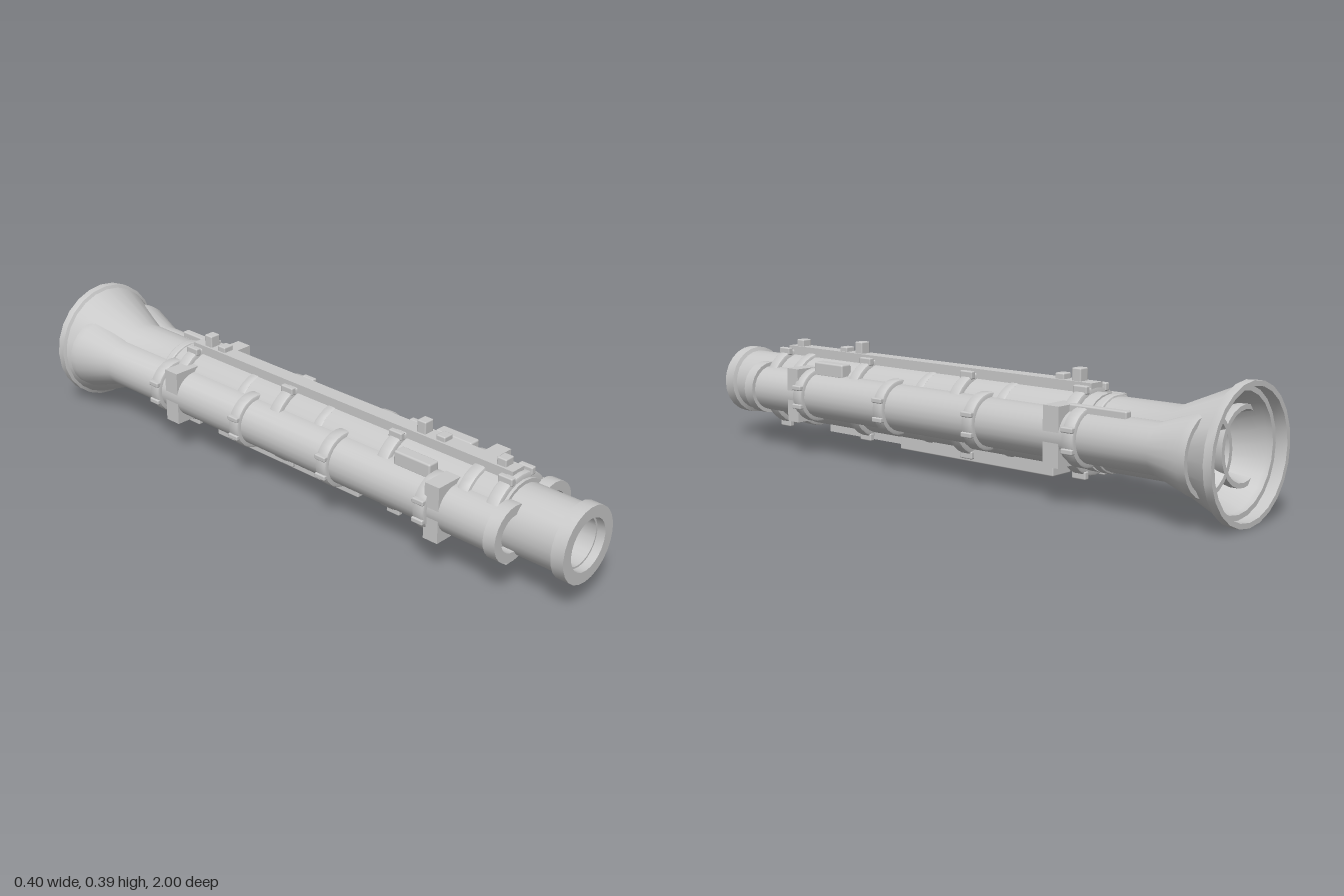
import * as THREE from 'three';
import { toCreasedNormals } from 'three/addons/utils/BufferGeometryUtils.js';
import { RoundedBoxGeometry } from 'three/addons/geometries/RoundedBoxGeometry.js';

const AXIS = 0.195;  // height of the tube axis
const SIDE_X = 0.088; // offset of the two side tubes

export function createModel() {
  const model = new THREE.Group();
  model.name = 'launcherTube';
  const grey = new THREE.MeshStandardMaterial({ color: 0xc8c8c8 });
  grey.name = 'plain grey';

  const add = (name, geometry, x, y, z) => {
    const mesh = new THREE.Mesh(geometry, grey);
    mesh.name = name;
    mesh.position.set(x, y, z);
    model.add(mesh);
    return mesh;
  };
  // Profile of [radius, z] turned around the long axis
  const turn = (name, profile, x, z = 0, segments = 32) => {
    const g = new THREE.LatheGeometry(profile.map(p => new THREE.Vector2(...p)), segments);
    g.rotateX(Math.PI / 2);
    return add(name, toCreasedNormals(g, 0.6), x, AXIS, z);
  };
  // Box given by its limits
  const box = (name, x0, x1, y0, y1, z0, z1, round = 0) => {
    const s = [x1 - x0, y1 - y0, z1 - z0];
    const g = round ? new RoundedBoxGeometry(...s, 2, round) : new THREE.BoxGeometry(...s);
    return add(name, g, (x0 + x1) / 2, (y0 + y1) / 2, (z0 + z1) / 2);
  };
  // Clamp band with softened edges
  const band = (name, x, z, inner, outer, width) => {
    const h = width / 2, c = Math.min(0.007, h * 0.6);
    return turn(name, [[inner, -h], [outer - c, -h], [outer - c * 0.3, -h + c * 0.3], [outer, -h + c],
      [outer, h - c], [outer - c * 0.3, h - c * 0.3], [outer - c, h], [inner, h]], x, z);
  };

  // Main tube: hollow rear horn, body, and open front barrel
  turn('mainTube', [
    [0, -0.74], [0.1, -0.74], [0.1, -0.785], [0.165, -0.945], [0.165, -0.965], [0.18, -0.965], [0.18, -1],
    [0.195, -1], [0.195, -0.975], [0.185, -0.97], [0.107, -0.785], [0.107, -0.54], [0.112, -0.54],
    [0.112, 0.79], [0.101, 0.79], [0.101, 0.955], [0.113, 0.96], [0.113, 1],
    [0.078, 1], [0.078, 0.975], [0.072, 0.975], [0.072, 0.8], [0, 0.8],
  ], 0, 0, 24);

  // Slim bands on the main tube
  for (const z of [-0.22, 0.105]) band('slimBand', 0, z, 0.1, 0.114, 0.035);
  band('frontCollar', 0, 0.655, 0.1, 0.122, 0.04);
  band('rearCollar', 0, -0.56, 0.1, 0.113, 0.03);

  // Main clamp bands with paired clasps above and below
  for (const z of [-0.48, -0.055, 0.375, 0.76]) {
    band('mainClamp', 0, z, 0.1, 0.128, 0.042);
    for (const x of [-0.045, 0.045]) for (const s of [-1, 1]) {
      const y = AXIS + s * 0.121;
      box('mainClasp', x - 0.009, x + 0.009, y - 0.012, y + 0.012, z - 0.024, z + 0.024, 0.004);
    }
  }

  for (const s of [-1, 1]) {
    const span = (a, b) => (s > 0 ? [a, b] : [-b, -a]);

    // Side tube with flared rear and front cap
    turn('sideTube', [
      [0, -0.72], [0.056, -0.72], [0.058, -0.79], [0.1, -0.925], [0.114, -0.925], [0.114, -0.9],
      [0.073, -0.78], [0.073, 0.787], [0.085, 0.787], [0.085, 0.826],
      [0.056, 0.826], [0.056, 0.77], [0, 0.77],
    ], s * SIDE_X, 0, 24);

    // Side clamp bands with clasps
    for (const z of [-0.53, -0.165, 0.2, 0.565]) {
      band('sideClamp', s * SIDE_X, z, 0.06, 0.087, 0.042);
      for (const y of [AXIS - 0.03, AXIS + 0.03])
        box('sideClasp', ...span(0.16, 0.178), y - 0.008, y + 0.008, z - 0.02, z + 0.02, 0.004);
    }

    // Square support brackets
    box('rearBracket', ...span(0.06, 0.159), 0.11, 0.283, -0.49, -0.435);
    box('frontBracket', ...span(0.06, 0.159), 0.11, 0.283, 0.575, 0.625);

    // Blocks lying in the upper grooves
    box('grooveBlock', ...span(0.07, 0.11), 0.26, 0.306, 0.42, 0.55, 0.006);
  }

  // Thin bar on the rear left shoulder
  box('shoulderBar', 0.085, 0.11, 0.25, 0.285, -0.68, -0.48, 0.005);

  // Top rail with sight posts
  box('topRail', -0.025, 0.025, 0.28, 0.333, -0.5, 0.765);
  for (const [z, top] of [[0.72, 0.355], [0.51, 0.348], [0.44, 0.37], [-0.38, 0.35], [-0.44, 0.37]])
    box('sightPost', -0.018, 0.018, 0.31, top, z - 0.016, z + 0.016, 0.004);

  // Underside rail in two steps
  box('lowerRailFront', -0.034, 0.034, 0.066, 0.11, 0.22, 0.56);
  box('lowerRailRear', -0.042, 0.042, 0.052, 0.1, -0.38, 0.23, 0.004);

  return model;
}
